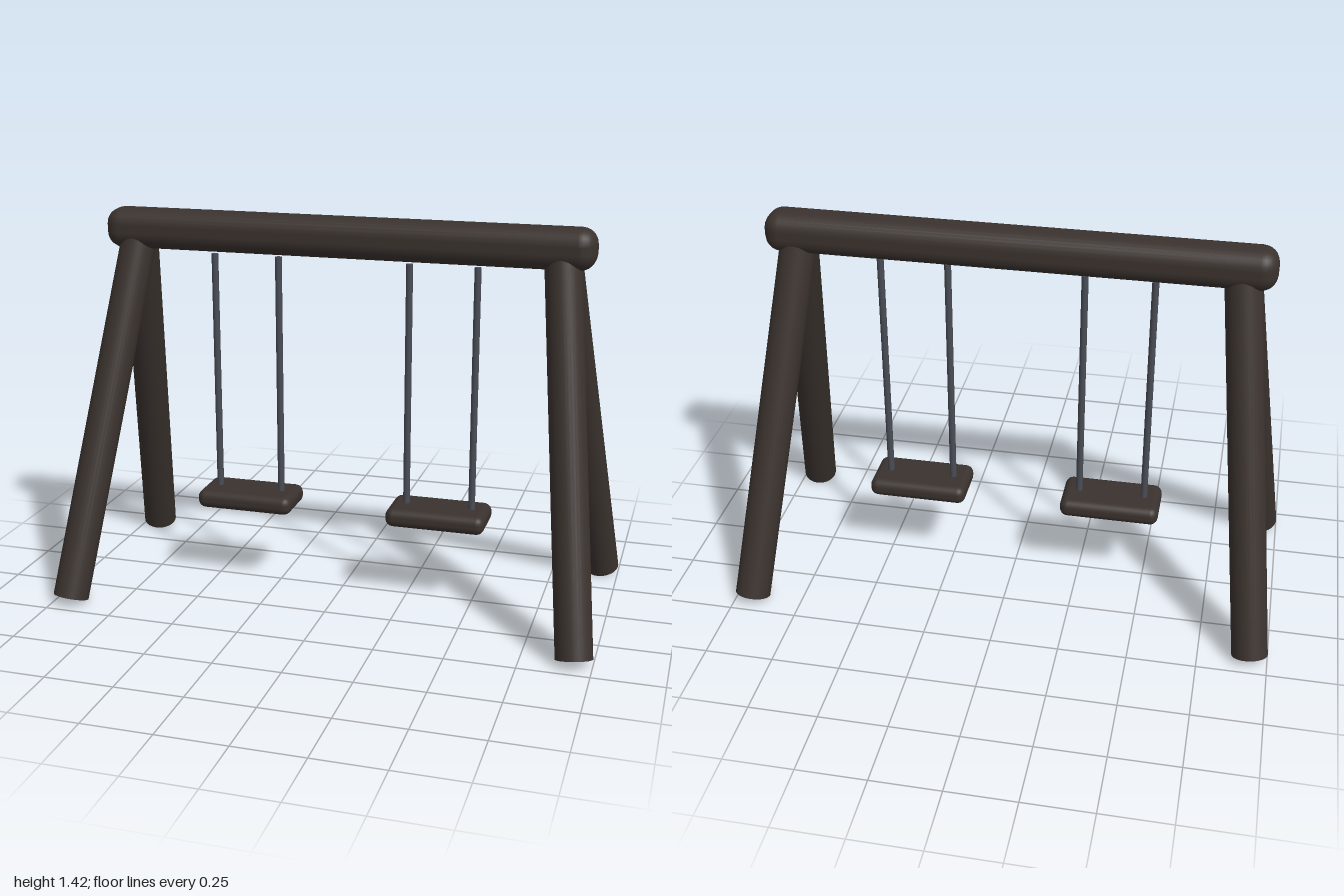
import * as THREE from 'three';
import { RoundedBoxGeometry } from 'three/addons/geometries/RoundedBoxGeometry.js';

const wood = new THREE.MeshStandardMaterial({ color: 0x3a322e });
const metal = new THREE.MeshStandardMaterial({ color: 0x4a4d56 });

function add(parent, name, geometry, material, x = 0, y = 0, z = 0) {
  const mesh = new THREE.Mesh(geometry, material);
  mesh.name = name;
  mesh.position.set(x, y, z);
  parent.add(mesh);
  return mesh;
}

// Round pole running from one point to another
function pole(parent, name, from, to, radius, sides, material) {
  const dir = to.clone().sub(from);
  const geometry = new THREE.CylinderGeometry(radius, radius, dir.length(), sides);
  const mesh = add(parent, name, geometry, material);
  mesh.position.copy(from).add(to).multiplyScalar(0.5);
  mesh.quaternion.setFromUnitVectors(new THREE.Vector3(0, 1, 0), dir.normalize());
}

export function createModel() {
  const model = new THREE.Group();
  model.name = 'swingSet';

  // Top beam with rounded edges
  add(model, 'topBeam', new RoundedBoxGeometry(1.806, 0.148, 0.15, 3, 0.06), wood, 0, 1.348, 0);

  for (const side of [1, -1]) {
    const name = side > 0 ? 'left' : 'right';

    // Splayed pair of legs meeting under the beam
    for (const end of [1, -1]) {
      pole(model, name + (end > 0 ? 'FrontLeg' : 'BackLeg'),
        new THREE.Vector3(side * 0.936, 0.021, end * 0.423),
        new THREE.Vector3(side * 0.787, 1.31, end * 0.006), 0.065, 32, wood);
    }

    // Swing: seat hung on two rods
    const swing = new THREE.Group();
    swing.name = name + 'Swing';
    swing.position.x = side * 0.368;
    model.add(swing);
    add(swing, 'seat', new RoundedBoxGeometry(0.37, 0.07, 0.2, 3, 0.03), wood, 0, 0.33, 0);
    for (const x of [-0.123, 0.123]) {
      pole(swing, 'hangingRod', new THREE.Vector3(x, 0.35, 0),
        new THREE.Vector3(x, 1.264, 0), 0.0125, 16, metal);
    }
  }
  return model;
}
